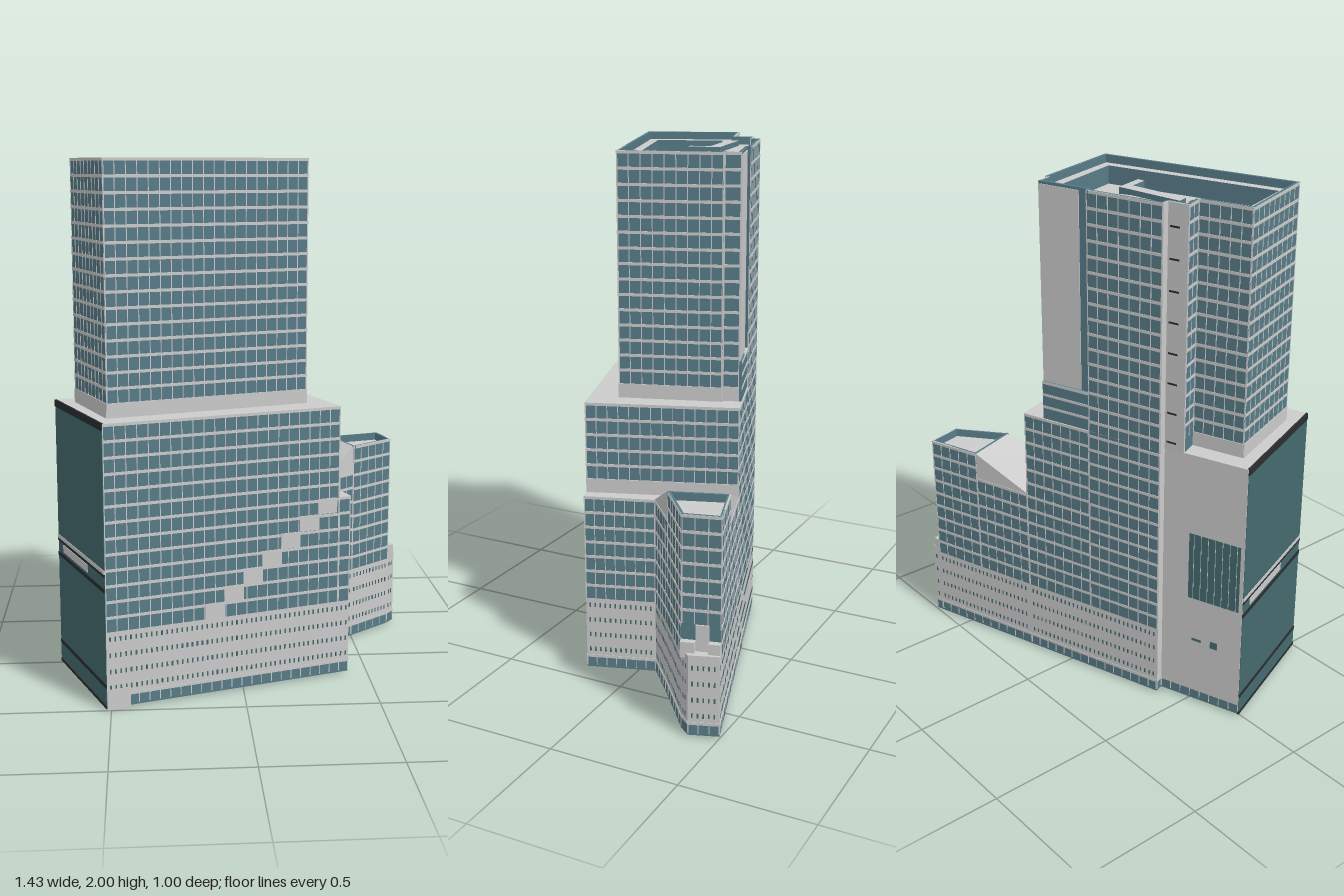
import * as THREE from 'three';
import { mergeGeometries } from 'three/addons/utils/BufferGeometryUtils.js';

const mat = (color) => new THREE.MeshStandardMaterial({ color });
const grey = mat(0xcccccc), glass = mat(0x587c88), darkGlass = mat(0x456a6e), black = mat(0x2a2e30);

// Plan points as [x, z], running anticlockwise seen from above
const A = [-0.71, -0.01], B = [-0.515, 0.497], M = [0.378, 0.205], C = [0.424, 0.19];
const D = [0.34, -0.07], E = [0.497, -0.205], F = [0.676, -0.35], G = [0.71, -0.393];
const H = [0.672, -0.5], I = [0.64, -0.49], J = [0.424, -0.42], K = [0.184, -0.343];
const S = [-0.1, -0.25], L = [-0.397, -0.155], N = [-0.386, -0.122], Q = [-0.466, -0.098];
const R1 = [0.103, -0.303], R2 = [-0.1, -0.236];
const footprint = [A, B, C, D, E, F, G, H, I, K, L, N];
const tower = [[-0.63, 0.04], [-0.5, 0.395], [0.256, 0.125], [0.137, -0.248], [0.122, -0.244],
  R1, R2, S, L, N, Q, [-0.435, -0.027]];

const edges = (pts) => pts.map((p, i) => [p, pts[(i + 1) % pts.length]]);
const length = (p, q) => Math.hypot(q[0] - p[0], q[1] - p[1]);

// Upright prism over a plan outline
function prismGeometry(pts, y0, y1, hole) {
  const toVec = ([x, z]) => new THREE.Vector2(x, -z);
  const shape = new THREE.Shape(pts.map(toVec));
  if (hole) shape.holes.push(new THREE.Path(hole.map(toVec)));
  return new THREE.ExtrudeGeometry(shape, { depth: y1 - y0, bevelEnabled: false })
    .rotateX(-Math.PI / 2).translate(0, y0, 0);
}

// Box lying along wall p-q, from distance u0 to u1, standing "out" proud of it
function panel(p, q, u0, u1, y0, y1, out = 0.003, depth = out + 0.004) {
  const len = length(p, q), dx = (q[0] - p[0]) / len, dz = (q[1] - p[1]) / len;
  const u = (u0 + u1) / 2, n = out - depth / 2;
  return new THREE.BoxGeometry(u1 - u0, y1 - y0, depth)
    .rotateY(Math.atan2(-dz, dx))
    .translate(p[0] + dx * u - dz * n, (y0 + y1) / 2, p[1] + dz * u + dx * n);
}

// Floor bands and mullions of one curtain wall
function facade(p, q, y0, y1) {
  const len = length(p, q), parts = [];
  const floors = Math.max(1, Math.round((y1 - y0) / 0.058)), bays = Math.max(1, Math.round(len / 0.042));
  for (let i = 1; i <= floors; i++) {
    const y = y0 + (y1 - y0) * i / floors;
    parts.push(panel(p, q, 0, len, y - 0.011, y, 0.002));
  }
  for (let i = 0; i <= bays; i++) {
    const u = THREE.MathUtils.clamp(len * i / bays, 0.002, len - 0.002);
    parts.push(panel(p, q, u - 0.0017, u + 0.0017, y0, y1, 0.0014));
  }
  return parts;
}

export function createModel() {
  const model = new THREE.Group();
  const add = (name, geometry, material) => {
    const mesh = new THREE.Mesh(Array.isArray(geometry) ? mergeGeometries(geometry) : geometry, material);
    mesh.name = name;
    model.add(mesh);
  };
  const roofed = [grey, glass];

  // Ground floor and podium
  add('groundFloor', prismGeometry(footprint, 0.008, 0.06), [black, glass]);
  add('podium', prismGeometry(footprint, 0.06, 0.3), grey);
  add('entrance', panel(B, C, 0, 0.09, 0, 0.08, 0.002, 0.02), grey);
  const slits = [];
  for (const [p, q] of edges(footprint)) {
    if (p === A || p === N || p === L) continue;
    const len = length(p, q);
    for (const y of [0.085, 0.147, 0.21, 0.272])
      for (let u = 0.012; u < len - 0.008; u += 0.02)
        slits.push(panel(p, q, u, u + 0.006, y - 0.009, y + 0.009, 0.001));
  }
  add('podiumWindows', slits, darkGlass);

  // Middle block with the tower's base course
  add('middleBlock', prismGeometry([A, B, M, K, L, N], 0.3, 1.075), roofed);
  add('towerBase', edges(tower).filter(([p]) => ![S, L, N, R1, Q].includes(p))
    .map(([p, q]) => panel(p, q, 0, length(p, q), 1.075, 1.13, 0.003)), grey);

  // Wing: flat terrace, sloping roof and raised end with a sunken roof
  add('wing', prismGeometry([M, C, D, E, F, I, K], 0.3, 0.72), roofed);
  const slope = prismGeometry([D, E, J, K], 0.72, 0.83);
  const pos = slope.attributes.position;
  for (let i = 0; i < pos.count; i++) {
    const nearTower = [D, K].some(([x, z]) => Math.hypot(pos.getX(i) - x, pos.getZ(i) - z) < 0.01);
    if (nearTower && pos.getY(i) > 0.75) pos.setY(i, 0.722);
  }
  slope.computeVertexNormals();
  add('wingSlopedRoof', slope, grey);
  const wingEnd = [E, F, I, J];
  add('wingEnd', prismGeometry(wingEnd, 0.72, 0.8), roofed);
  add('wingParapet', edges(wingEnd).map(([p, q]) => panel(p, q, 0, length(p, q), 0.8, 0.83, 0, 0.01)), glass);
  add('wingTerraceUpstand', panel(M, K, 0, length(M, K), 0.72, 0.775, 0.004), grey);

  // Stepped blocks at the wing tip
  const tip = length(F, I);
  add('tipBlocks', [
    panel(F, I, 0, tip * 0.36, 0.3, 0.36, 0.025),
    panel(F, I, tip * 0.36, tip * 0.7, 0.3, 0.42, 0.006),
    panel(F, I, tip * 0.7, tip, 0.3, 0.36, 0.025),
    prismGeometry([F, G, H, I], 0.3, 0.32).toNonIndexed(),
  ].map((g) => (g.index ? g.toNonIndexed() : g)), grey);

  // Tower, with a roof pit and a rim
  const pit = [[-0.55, 0.08], [-0.462, 0.332], [0.2, 0.095], [0.09, -0.233]];
  add('tower', prismGeometry(tower, 1.07, 1.9), roofed);
  add('towerCrown', prismGeometry(tower, 1.9, 1.97, pit), roofed);
  add('towerRim', edges(tower).map(([p, q]) => panel(p, q, 0, length(p, q), 1.97, 2, 0, 0.011)), glass);
  add('roofScreen', prismGeometry([[-0.385, -0.069], [-0.115, -0.114], [-0.08, 0.004],
    [-0.11, 0.008], [-0.133, -0.065], [-0.37, -0.027]], 1.9, 1.99), roofed);
  add('roofPlant', prismGeometry([[-0.32, 0], [-0.13, -0.065], [-0.11, -0.01], [-0.298, 0.073]], 1.9, 1.95), roofed);

  // Curtain wall grids
  const grids = [
    [B, M, 0.3, 1.075], [M, C, 0.3, 0.72], [M, K, 0.775, 1.075], [K, S, 0.3, 1.075], [S, L, 0.3, 2],
    [C, D, 0.3, 0.72], [D, E, 0.3, 0.72], [E, F, 0.3, 0.83], [F, I, 0.42, 0.83], [I, J, 0.3, 0.83], [J, K, 0.3, 0.72],
  ];
  for (const [p, q] of edges(tower))
    if (![R1, R2, S, L, N].includes(p)) grids.push([p, q, 1.13, 2]);
  add('facadeGrid', grids.flatMap((g) => facade(...g)), grey);
  add('groundMullions', edges(footprint).filter(([p]) => p !== A)
    .flatMap(([p, q]) => facade(p, q, 0.015, 0.06)), grey);

  // Stepped diagonal on the front wall
  const steps = [];
  for (let i = 0; i < 7; i++) {
    const u = (0.367 + i * 0.0735) * 1.052;
    steps.push(panel(B, M, u, u + 0.08, 0.3 + i * 0.06, 0.36 + i * 0.06, 0.003));
  }
  add('steppedDiagonal', steps, grey);

  // Left side wall: dark glazing with black and grey courses
  const side = length(A, B);
  const course = (y0, y1, out) => panel(A, B, 0, side, y0, y1, out);
  add('sideGlazing', [course(0.015, 0.085, 0.002), course(0.1, 0.45, 0.002), course(0.535, 1.05, 0.002)], darkGlass);
  add('sideBlackCourses', [course(0.006, 0.018, 0.004), course(0.085, 0.1, 0.004),
    course(0.45, 0.465, 0.004), course(0.51, 0.52, 0.004), course(1.05, 1.077, 0.004)], black);
  add('sideGreyCourses', [course(0.52, 0.535, 0.004),
    panel(A, B, 0.06, side * 0.65, 0.475, 0.505, 0.003)], grey);
  add('sideLouvre', course(0.465, 0.51, 0.001), darkGlass);

  // Blank rear wall with its window, and the service shaft running up the tower
  const rear = length(N, A), shaft = length(N, Q);
  add('rearWall', panel(N, A, 0, rear, 0.06, 1.075, 0.002), grey);
  add('rearWindow', panel(N, A, shaft + 0.03, rear - 0.015, 0.47, 0.75, 0.004), darkGlass);
  const mullions = [];
  for (let u = shaft + 0.05; u < rear - 0.02; u += 0.03) mullions.push(panel(N, A, u, u + 0.002, 0.47, 0.75, 0.005));
  add('rearWindowMullions', mullions, grey);
  add('rearVents', [panel(N, A, shaft + 0.05, shaft + 0.09, 0.28, 0.29, 0.004),
    panel(N, A, shaft + 0.13, shaft + 0.16, 0.27, 0.3, 0.004)], darkGlass);
  add('serviceShaft', [panel(N, Q, 0, shaft, 1.07, 2, 0.003),
    panel(L, N, 0, length(L, N), 0.06, 2, 0.002)], grey);
  const shaftSlits = [];
  for (let y = 1.1; y < 1.95; y += 0.116) shaftSlits.push(panel(N, Q, 0.01, 0.05, y, y + 0.007, 0.004));
  add('shaftSlits', shaftSlits, black);

  // Blank rear strip of the tower above a glazed ledge
  const strip = length(R1, R2);
  add('rearLedge', panel(R1, R2, 0, strip, 1.07, 1.23, 0.01), roofed[1]);
  add('rearLedgeBands', [1.13, 1.18, 1.23].map((y) => panel(R1, R2, 0, strip, y - 0.01, y, 0.012)), grey);
  add('rearStrip', panel(R1, R2, 0, strip * 0.8, 1.23, 1.99, 0.003), grey);

  return model;
}
